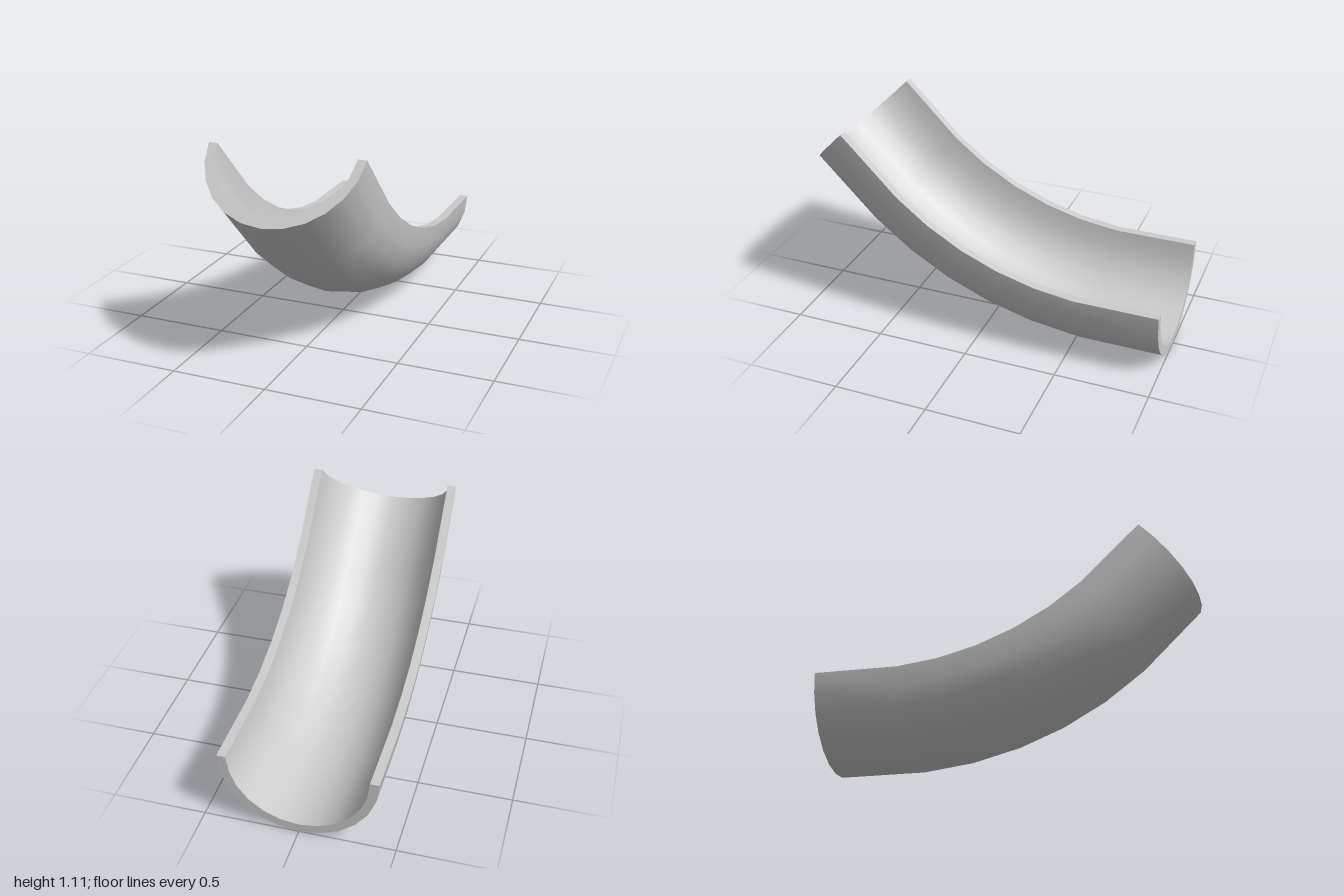
import * as THREE from 'three';
import { mergeGeometries } from 'three/addons/utils/BufferGeometryUtils.js';

const OUTER = 0.41, INNER = 0.363, SIDES = 12, STEP = Math.PI / 24;

// Centreline: flat run, five chords turning 7.5 degrees each, then a 45 degree run
function makeSections() {
  const sections = [{ y: OUTER, z: -1, a: 0, s: 1 }];
  let y = OUTER, z = -0.56;
  const mitre = 1 / Math.cos(STEP / 2);
  for (let k = 0; k < 6; k++) {
    sections.push({ y, z, a: (k + 0.5) * STEP, s: mitre });
    const length = k < 5 ? 0.213 : 0.428;
    y += length * Math.sin((k + 1) * STEP);
    z += length * Math.cos((k + 1) * STEP);
  }
  sections.push({ y, z, a: 6 * STEP, s: 1 });
  return sections;
}

// Point on the half-round cross-section, t running from the left rim under to the right rim
function point({ y, z, a, s }, radius, t) {
  const drop = radius * Math.sin(t) * s;
  return [radius * Math.cos(t), y - drop * Math.cos(a), z + drop * Math.sin(a)];
}

// Smooth surface through rows of points
function skin(rows) {
  const n = rows[0].length, index = [];
  for (let i = 0; i < rows.length - 1; i++) {
    for (let j = 0; j < n - 1; j++) {
      const a = i * n + j, b = a + n;
      index.push(a, b, a + 1, b, b + 1, a + 1);
    }
  }
  const g = new THREE.BufferGeometry();
  g.setAttribute('position', new THREE.Float32BufferAttribute(rows.flat(2), 3));
  g.setIndex(index);
  g.computeVertexNormals();
  return g;
}

export function createModel() {
  const group = new THREE.Group();
  group.name = 'curvedHalfPipe';
  const material = new THREE.MeshStandardMaterial({ color: 0xcccccc });
  const add = (name, geometry) => {
    const mesh = new THREE.Mesh(geometry, material);
    mesh.name = name;
    group.add(mesh);
  };

  const sections = makeSections();
  const first = sections[0], last = sections[sections.length - 1];
  const angles = Array.from({ length: SIDES + 1 }, (_, j) => (j * Math.PI) / SIDES);
  const arc = (section, radius) => angles.map((t) => point(section, radius, t));

  // Outer and inner walls
  add('outerWall', skin(sections.map((s) => arc(s, OUTER))));
  add('innerWall', skin(sections.map((s) => arc(s, INNER).reverse())));

  // Long flat rims along both sides
  add('sideRims', mergeGeometries([
    skin(sections.map((s) => [point(s, INNER, 0), point(s, OUTER, 0)])),
    skin(sections.map((s) => [point(s, OUTER, Math.PI), point(s, INNER, Math.PI)])),
  ]));

  // Half-ring faces closing the two ends
  add('backEnd', skin([arc(first, INNER), arc(first, OUTER)]));
  add('frontEnd', skin([arc(last, OUTER), arc(last, INNER)]));

  return group;
}
